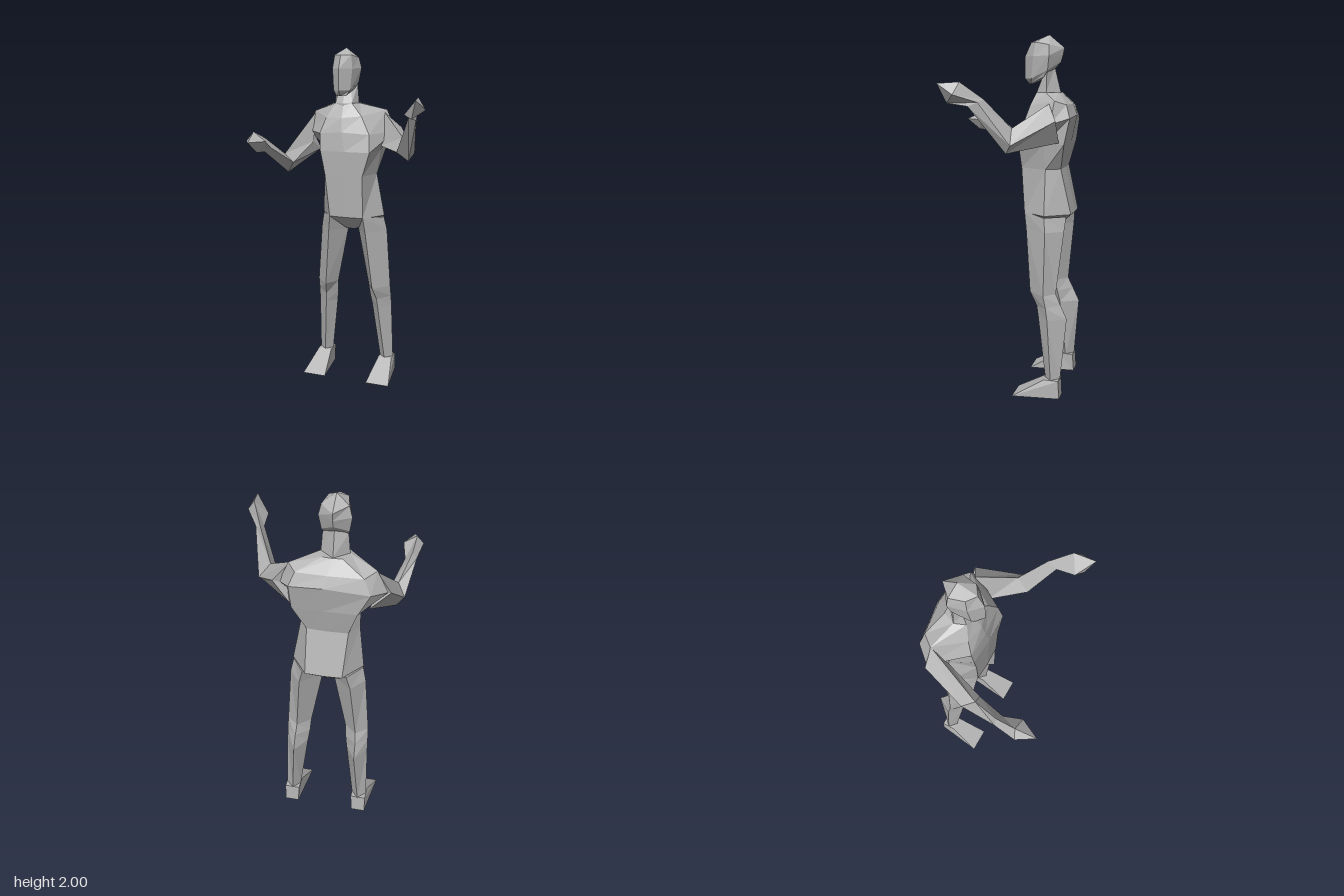
import * as THREE from 'three';

const skin = new THREE.MeshStandardMaterial({ color: 0xb4b4b4 });
skin.name = 'plain grey';

// Faceted skin through a list of equal-length rings of [x, y, z], closed at both ends
function loft(name, rings) {
  const pos = [];
  const tri = (a, b, c) => pos.push(...a, ...b, ...c);
  const n = rings[0].length;
  const centre = r => [0, 1, 2].map(k => r.reduce((s, p) => s + p[k], 0) / n);
  const first = rings[0], last = rings[rings.length - 1];
  const c0 = centre(first), c1 = centre(last);
  for (let j = 0; j < n; j++) {
    const k = (j + 1) % n;
    for (let i = 0; i + 1 < rings.length; i++) {
      const a = rings[i], b = rings[i + 1];
      tri(a[j], a[k], b[k]);
      tri(a[j], b[k], b[j]);
    }
    tri(c0, first[k], first[j]);
    tri(c1, last[j], last[k]);
  }
  // turn the faces outward if the rings ran the other way round
  let volume = 0;
  const a = new THREE.Vector3(), b = new THREE.Vector3(), c = new THREE.Vector3();
  for (let i = 0; i < pos.length; i += 9) {
    a.fromArray(pos, i); b.fromArray(pos, i + 3); c.fromArray(pos, i + 6);
    volume += a.dot(b.cross(c));
  }
  if (volume < 0) {
    for (let i = 0; i < pos.length; i += 9) {
      for (let k = 3; k < 6; k++) [pos[i + k], pos[i + k + 3]] = [pos[i + k + 3], pos[i + k]];
    }
  }
  const g = new THREE.BufferGeometry();
  g.setAttribute('position', new THREE.Float32BufferAttribute(pos, 3));
  g.computeVertexNormals();
  const mesh = new THREE.Mesh(g, skin);
  mesh.name = name;
  return mesh;
}

const point = (x, y, z) => Array(4).fill([x, y, z]);

// Eight-sided torso section: front, side and back half widths with their depths
function torsoRing(c, y, wF, zF, wS, zS, wB, zB) {
  return [[c, y, zF + 0.005], [c + wF, y, zF], [c + wS, y, zS], [c + wB, y, zB],
    [c, y, zB - 0.005], [c - wB, y, zB], [c - wS, y, zS], [c - wF, y, zF]];
}

// Six-sided head section
function headRing(y, zF, wF, zC, wS, zS, yB, zB) {
  const c = -0.085;
  return [[c, y, zF], [c + wF, y, zC], [c + wS, (y + yB) / 2, zS],
    [c, yB, zB], [c - wS, (y + yB) / 2, zS], [c - wF, y, zC]];
}

export function createModel() {
  const figure = new THREE.Group();
  figure.name = 'standingFigure';

  // Torso from crotch to neck base
  figure.add(loft('torso', [
    torsoRing(-0.06, 0.94, 0.03, -0.22, 0.032, -0.25, 0.03, -0.28),
    torsoRing(-0.055, 1.03, 0.103, -0.116, 0.195, -0.25, 0.1, -0.38),
    torsoRing(-0.065, 1.28, 0.115, -0.1, 0.158, -0.245, 0.11, -0.32),
    torsoRing(-0.055, 1.42, 0.15, -0.092, 0.17, -0.24, 0.17, -0.35),
    // chest with uneven shoulders
    [[-0.075, 1.53, -0.095], [0.085, 1.52, -0.115], [0.19, 1.53, -0.29], [0.12, 1.56, -0.38],
      [-0.06, 1.57, -0.385], [-0.286, 1.54, -0.355], [-0.36, 1.52, -0.27], [-0.21, 1.52, -0.1]],
    [[-0.08, 1.61, -0.112], [0.03, 1.62, -0.14], [0.135, 1.65, -0.3], [0.09, 1.63, -0.355],
      [-0.07, 1.63, -0.36], [-0.25, 1.62, -0.335], [-0.304, 1.635, -0.268], [-0.18, 1.61, -0.13]],
    torsoRing(-0.083, 1.69, 0.05, -0.16, 0.075, -0.22, 0.05, -0.285),
  ]));

  // Neck and head
  figure.add(loft('neck', [
    headRing(1.65, -0.15, 0.05, -0.16, 0.077, -0.22, 1.66, -0.29),
    headRing(1.69, -0.148, 0.05, -0.16, 0.074, -0.22, 1.69, -0.286),
    headRing(1.76, -0.18, 0.04, -0.185, 0.065, -0.22, 1.83, -0.25),
  ]));
  figure.add(loft('head', [
    headRing(1.735, -0.105, 0.03, -0.12, 0.055, -0.2, 1.81, -0.245),
    headRing(1.765, -0.08, 0.05, -0.13, 0.07, -0.225, 1.855, -0.285),
    headRing(1.885, -0.08, 0.06, -0.14, 0.083, -0.235, 1.89, -0.295),
    headRing(1.96, -0.114, 0.05, -0.15, 0.068, -0.232, 1.93, -0.303),
    Array(6).fill([-0.088, 2, -0.217]),
  ]));

  // Arms: sections run top, outer, bottom, inner from shoulder to fingertips
  figure.add(loft('leftArm', [
    [[0.13, 1.635, -0.27], [0.215, 1.55, -0.325], [0.13, 1.43, -0.325], [0.13, 1.45, -0.2]],
    [[0.285, 1.515, -0.11], [0.352, 1.43, -0.12], [0.325, 1.386, -0.09], [0.27, 1.44, -0.043]],
    [[0.37, 1.665, 0.012], [0.402, 1.65, 0.035], [0.41, 1.63, 0.085], [0.363, 1.64, 0.066]],
    [[0.43, 1.752, 0.12], [0.475, 1.69, 0.143], [0.415, 1.645, 0.196], [0.367, 1.665, 0.166]],
    point(0.446, 1.745, 0.237),
  ]));
  figure.add(loft('rightArm', [
    [[-0.3, 1.63, -0.268], [-0.376, 1.52, -0.27], [-0.27, 1.41, -0.27], [-0.285, 1.46, -0.185]],
    [[-0.38, 1.41, 0.015], [-0.423, 1.36, -0.046], [-0.38, 1.295, -0.03], [-0.33, 1.36, 0.01]],
    [[-0.43, 1.515, 0.164], [-0.455, 1.48, 0.17], [-0.42, 1.44, 0.19], [-0.39, 1.465, 0.18]],
    [[-0.44, 1.56, 0.275], [-0.477, 1.51, 0.293], [-0.41, 1.45, 0.3], [-0.367, 1.51, 0.28]],
    point(-0.42, 1.513, 0.386),
  ]));

  // Legs and feet, mirrored about the hips; sections run front, outer, back, inner
  const leg = [
    [[0.103, 1.035, -0.116], [0.193, 1.02, -0.25], [0.12, 1.02, -0.358], [0.03, 0.94, -0.25]],
    [[0.115, 0.94, -0.13], [0.21, 0.94, -0.26], [0.14, 0.94, -0.352], [0.032, 0.935, -0.25]],
    [[0.15, 0.587, -0.164], [0.235, 0.587, -0.26], [0.17, 0.59, -0.317], [0.1, 0.587, -0.25]],
    [[0.165, 0.51, -0.208], [0.237, 0.52, -0.275], [0.175, 0.53, -0.345], [0.105, 0.52, -0.265]],
    [[0.17, 0.45, -0.218], [0.238, 0.45, -0.285], [0.176, 0.45, -0.383], [0.115, 0.45, -0.28]],
    [[0.2, 0.1, -0.27], [0.245, 0.1, -0.31], [0.2, 0.1, -0.355], [0.16, 0.1, -0.31]],
  ];
  const foot = [
    [[0.28, 0, -0.095], [0.245, 0, -0.36], [0.165, 0, -0.36], [0.135, 0, -0.095]],
    [[0.245, 0.105, -0.272], [0.245, 0.105, -0.353], [0.16, 0.105, -0.353], [0.16, 0.105, -0.272]],
  ];
  for (const [side, s] of [['left', 1], ['right', -1]]) {
    const place = rings => rings.map(r => r.map(([x, y, z]) => [-0.055 + s * x, y, z]));
    figure.add(loft(side + 'Leg', place(leg)), loft(side + 'Foot', place(foot)));
  }
  return figure;
}
